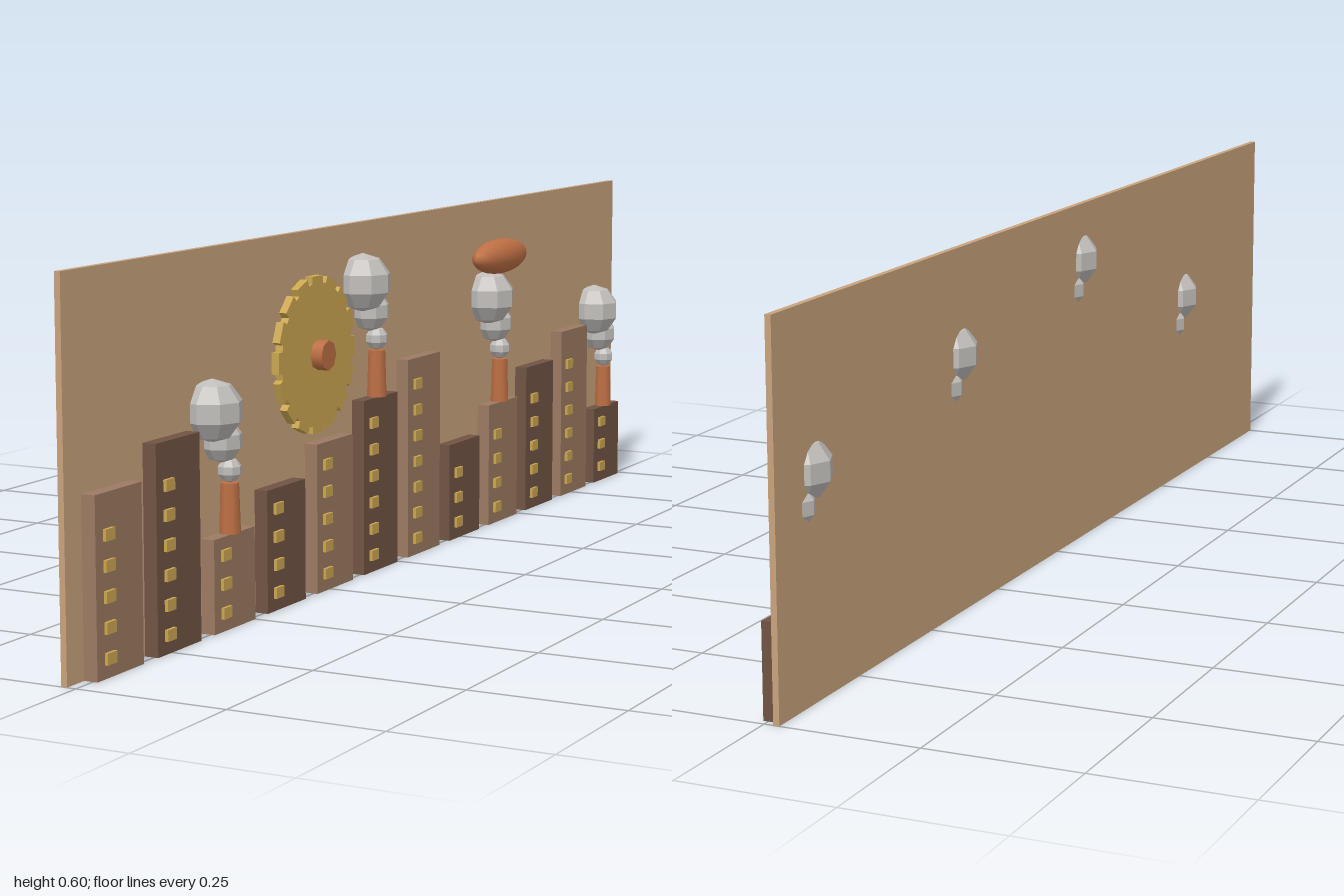
import * as THREE from 'three';

const mat = (name, color, flatShading = false) => {
  const m = new THREE.MeshStandardMaterial({ color, flatShading });
  m.name = name;
  return m;
};

export function createModel() {
  const tan = mat('tan panel', 0xc9a37c);
  const lightBrown = mat('light brown wall', 0x9c7a62);
  const darkBrown = mat('dark brown wall', 0x705344);
  const brass = mat('brass', 0xcba650);
  const copper = mat('copper', 0xbd6f44);
  const smoke = mat('smoke grey', 0xc0bdba, true);

  const model = new THREE.Group();
  model.name = 'citySkyline';
  const add = (parent, name, geometry, material, x, y, z) => {
    const mesh = new THREE.Mesh(geometry, material);
    mesh.name = name;
    mesh.position.set(x, y, z);
    parent.add(mesh);
    return mesh;
  };

  // Backdrop
  add(model, 'backPanel', new THREE.BoxGeometry(0.01, 0.6, 2), tan, -0.02, 0.3, 0);

  // Row of buildings with a column of windows each; every third has a chimney
  const windowGeo = new THREE.BoxGeometry(0.006, 0.018, 0.025);
  const heights = [0.275, 0.325, 0.15, 0.2, 0.25, 0.3, 0.35, 0.175, 0.225, 0.275, 0.325, 0.15];
  heights.forEach((h, i) => {
    const building = new THREE.Group();
    building.name = 'building' + (i + 1);
    building.position.z = 0.893 - i * 0.1653;
    model.add(building);
    add(building, 'wall', new THREE.BoxGeometry(0.025, h, 0.125),
      i % 2 ? darkBrown : lightBrown, -0.0045, h / 2, 0);
    const rows = Math.floor(h / 0.05 + 0.01);
    for (let r = 0; r < rows; r++) {
      add(building, 'window', windowGeo, brass, 0.0105, 0.03 + r * 0.0458, 0.03);
    }
    if (i % 3 === 2) {
      add(building, 'chimney', new THREE.CylinderGeometry(0.015, 0.0175, 0.08, 8), copper, 0, h + 0.04, 0);
      // Smoke puffs grow as they drift
      for (let p = 0; p < 3; p++) {
        add(building, 'smokePuff', new THREE.SphereGeometry(0.02 + p * 0.015, 8, 5), smoke,
          0, h + 0.1 + p * 0.05, p * 0.025);
      }
    }
  });

  // Toothed wheel
  const teeth = 16;
  const shape = new THREE.Shape();
  const pitch = (Math.PI * 2) / teeth;
  for (let i = 0; i < teeth; i++) {
    const a = i * pitch;
    [[-0.15, 0.118], [-0.135, 0.13], [0.135, 0.13], [0.15, 0.118]].forEach(([da, r], k) => {
      const x = Math.cos(a + da) * r, y = Math.sin(a + da) * r;
      if (i === 0 && k === 0) shape.moveTo(x, y);
      else shape.lineTo(x, y);
    });
  }
  shape.closePath();
  const gearGeo = new THREE.ExtrudeGeometry(shape, { depth: 0.0135, bevelEnabled: false });
  gearGeo.rotateY(Math.PI / 2);
  const gear = new THREE.Group();
  gear.name = 'gear';
  gear.position.set(0, 0.4, 0.3);
  model.add(gear);
  add(gear, 'gearWheel', gearGeo, brass, 0, 0, 0);
  add(gear, 'gearHub', new THREE.CylinderGeometry(0.025, 0.025, 0.024, 8).rotateZ(Math.PI / 2),
    copper, 0.022, 0, 0);

  // Airship envelope
  const airship = add(model, 'airship', new THREE.SphereGeometry(1, 20, 12), copper, 0.0125, 0.5, -0.4);
  airship.scale.set(0.03, 0.032, 0.1);

  return model;
}
